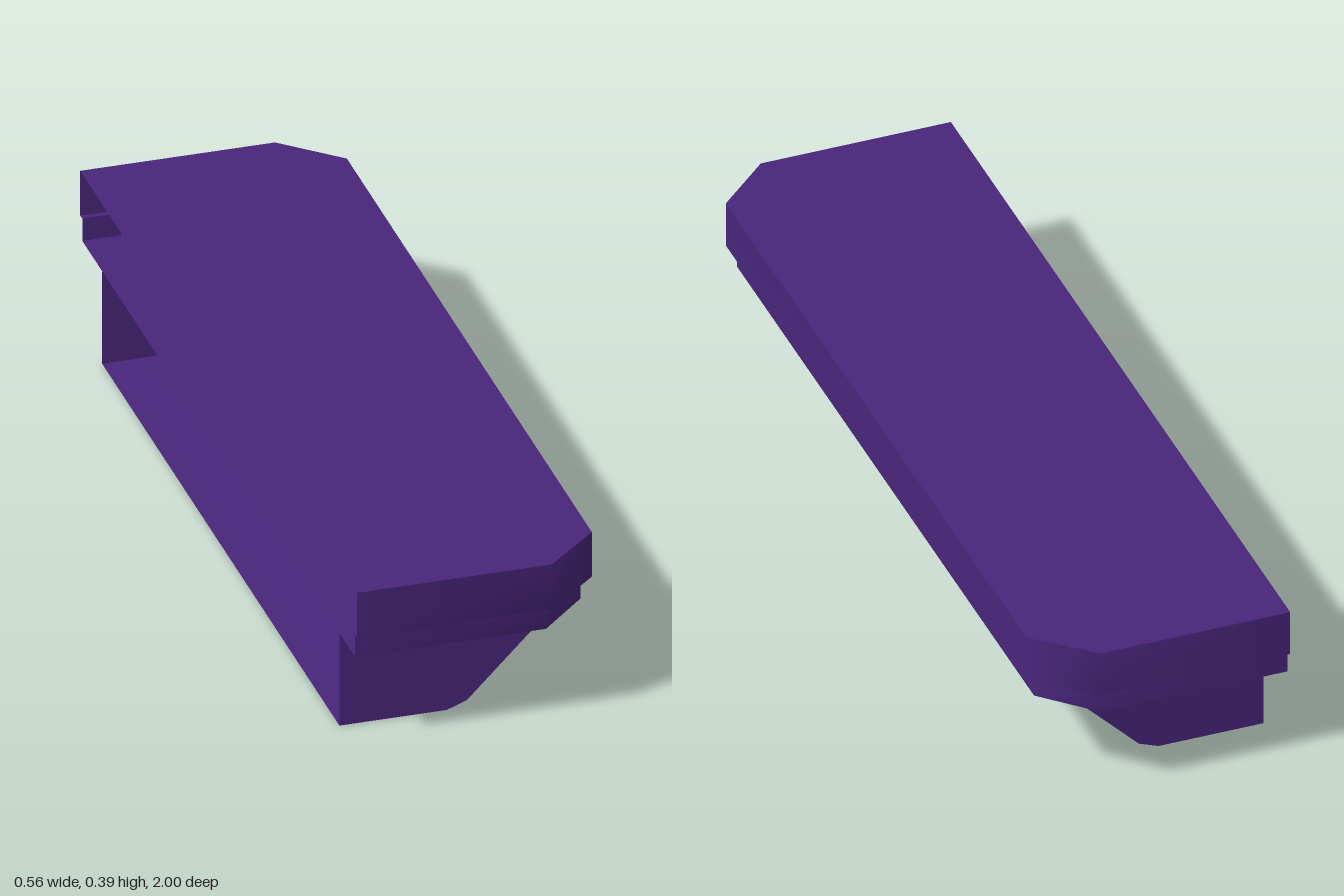
import * as THREE from 'three';

const BACK = -0.28;

// Smooth band of quads between two matching rows of points
function strip(lower, upper) {
  const n = lower.length, index = [];
  for (let i = 0; i < n - 1; i++) {
    index.push(i, i + 1, n + i + 1, i, n + i + 1, n + i);
  }
  return build([...lower, ...upper], index);
}

// Flat convex polygon, facing the side from which its points run anticlockwise
function cap(points) {
  const index = [];
  for (let i = 1; i < points.length - 1; i++) index.push(0, i, i + 1);
  return build(points, index);
}

function build(points, index) {
  const geometry = new THREE.BufferGeometry();
  geometry.setAttribute('position', new THREE.Float32BufferAttribute(points.flat(), 3));
  geometry.setIndex(index);
  geometry.computeVertexNormals();
  return geometry;
}

// Plan outline with two cut corners, open along the back edge
function outline(x, z, cutX, cutZ, y) {
  return [[BACK, y, z], [cutX, y, z], [x, y, cutZ], [x, y, -cutZ], [cutX, y, -z], [BACK, y, -z]];
}

export function createModel() {
  const model = new THREE.Group();
  model.name = 'wallShelf';
  const purple = new THREE.MeshStandardMaterial({ color: 0x49267c, side: THREE.DoubleSide });
  purple.name = 'purple';

  function part(name, ...geometries) {
    const group = new THREE.Group();
    group.name = name;
    for (const geometry of geometries) {
      const mesh = new THREE.Mesh(geometry, purple);
      mesh.name = name + 'Surface';
      group.add(mesh);
    }
    model.add(group);
  }

  // Top slab with its rim
  const slab = y => outline(0.28, 1, 0.155, 0.885, y);
  part('topSlab', strip(slab(0.278), slab(0.386)), cap(slab(0.386)));

  // Narrower moulding under the slab: step, sides and underside
  const band = y => outline(0.258, 0.985, 0.147, 0.875, y);
  part('moulding',
    strip(band(0.278), slab(0.278)),
    strip(band(0.224), band(0.278)),
    cap(band(0.224).reverse()));

  // Wedge support, open at the back
  const profile = z => [[BACK, 0, z], [-0.04, 0, z], [0.005, 0.017, z], [0.208, 0.222, z]];
  const end = z => [...profile(z), [BACK, 0.222, z]];
  const zFront = 0.873, zBack = -0.842;
  part('wedgeSupport',
    strip(profile(zBack), profile(zFront)),
    cap(end(zFront)),
    cap(end(zBack).reverse()));

  return model;
}
